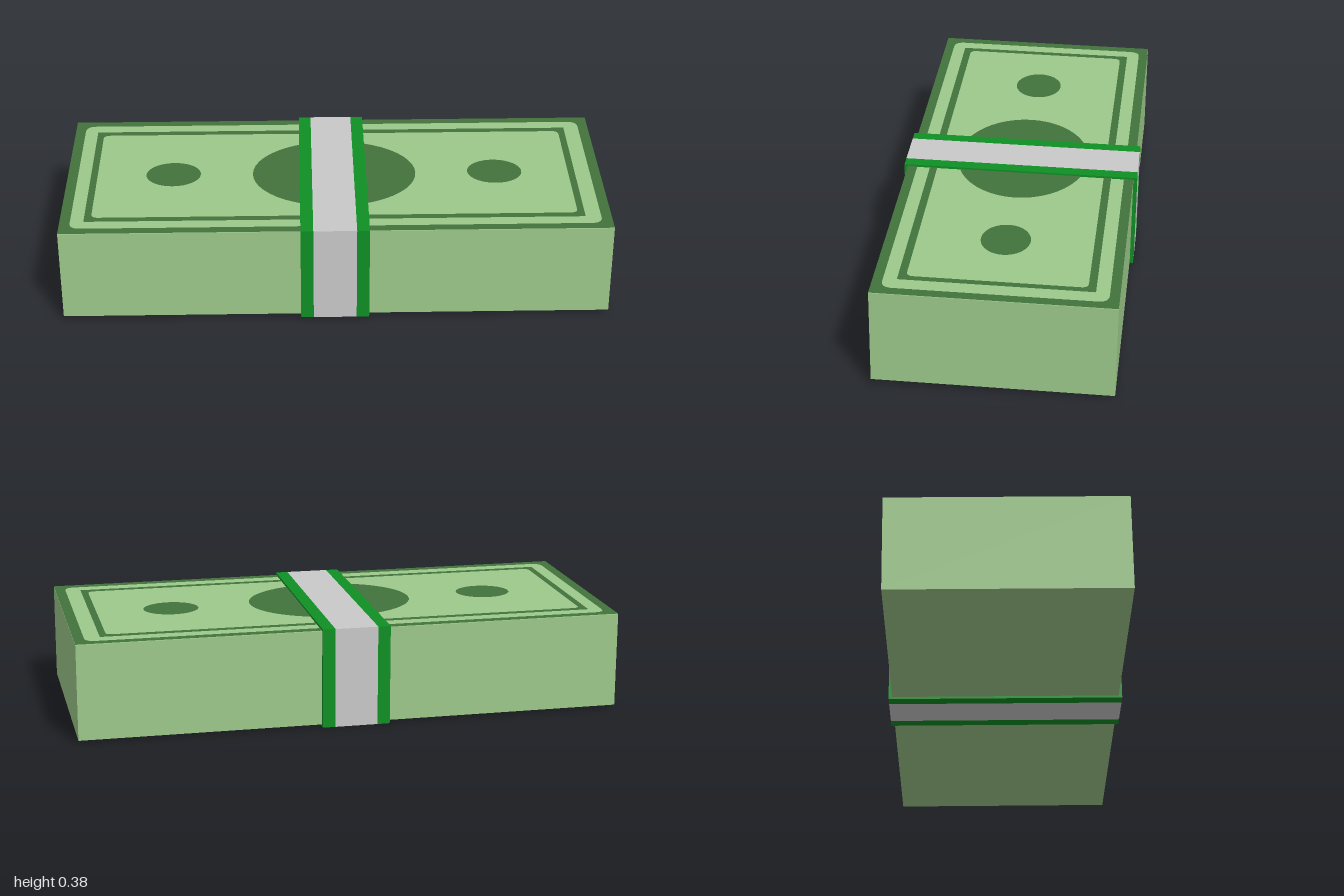
import * as THREE from 'three';

const mat = (name, color) => {
  const m = new THREE.MeshStandardMaterial({ color });
  m.name = name;
  return m;
};

// Rectangle outline centred on the origin, with optional rounded corners
function rect(w, h, r, Type = THREE.Shape) {
  const s = new Type(), x = w / 2, y = h / 2;
  s.moveTo(-x + r, -y);
  s.lineTo(x - r, -y);
  if (r) s.quadraticCurveTo(x, -y, x, -y + r);
  s.lineTo(x, y - r);
  if (r) s.quadraticCurveTo(x, y, x - r, y);
  s.lineTo(-x + r, y);
  if (r) s.quadraticCurveTo(-x, y, -x, y - r);
  s.lineTo(-x, -y + r);
  if (r) s.quadraticCurveTo(-x, -y, -x + r, -y);
  return s;
}

function frame(w, h, r, iw, ih, ir) {
  const s = rect(w, h, r);
  s.holes.push(rect(iw, ih, ir, THREE.Path));
  return s;
}

export function createModel() {
  const paper = mat('paper green', 0x9dc98b);
  const ink = mat('dark ink green', 0x42733c);
  const bandGreen = mat('band green', 0x0f9024);
  const bandGrey = mat('band grey', 0xc9c9c9);

  const model = new THREE.Group();
  model.name = 'banknoteBundle';
  const bundle = new THREE.Group();
  bundle.name = 'bundle';
  const add = (name, geometry, material) => {
    const mesh = new THREE.Mesh(geometry, material);
    mesh.name = name;
    bundle.add(mesh);
    return mesh;
  };

  // Stack of notes
  const H = 0.35, D = 0.84;
  add('noteStack', new THREE.BoxGeometry(1.996, H, D), paper);

  // Printed faces on the top note
  const print = (name, shape, x = 0) => {
    const g = new THREE.ShapeGeometry(shape, 24).rotateX(-Math.PI / 2);
    add(name, g, ink).position.set(x, H / 2 + 0.002, 0);
  };
  print('outerBorder', frame(1.996, D, 0, 1.92, 0.77, 0.04));
  print('innerBorder', frame(1.815, 0.675, 0, 1.765, 0.62, 0.025), -0.004);
  const ellipse = (rx, ry) => new THREE.Shape().absellipse(0, 0, rx, ry, 0, Math.PI * 2);
  print('centreMedallion', ellipse(0.305, 0.245));
  for (const side of [-1, 1]) print(side < 0 ? 'rightSpot' : 'leftSpot', ellipse(0.102, 0.088), side * 0.602);

  // Paper band: grey middle with a green stripe on each edge
  const band = (name, x0, x1, material) => {
    const g = new THREE.ExtrudeGeometry(frame(0.866, 0.367, 0, D, H, 0), { depth: x1 - x0, bevelEnabled: false });
    add(name, g.rotateY(Math.PI / 2), material).position.x = x0;
  };
  band('bandRightStripe', -0.13, -0.084, bandGreen);
  band('bandMiddle', -0.084, 0.073, bandGrey);
  band('bandLeftStripe', 0.073, 0.119, bandGreen);

  // The bundle lies very slightly tilted
  bundle.rotation.set(-0.0125, 0.003, 0);
  bundle.position.set(0, 0.19, 0);
  model.add(bundle);
  return model;
}
